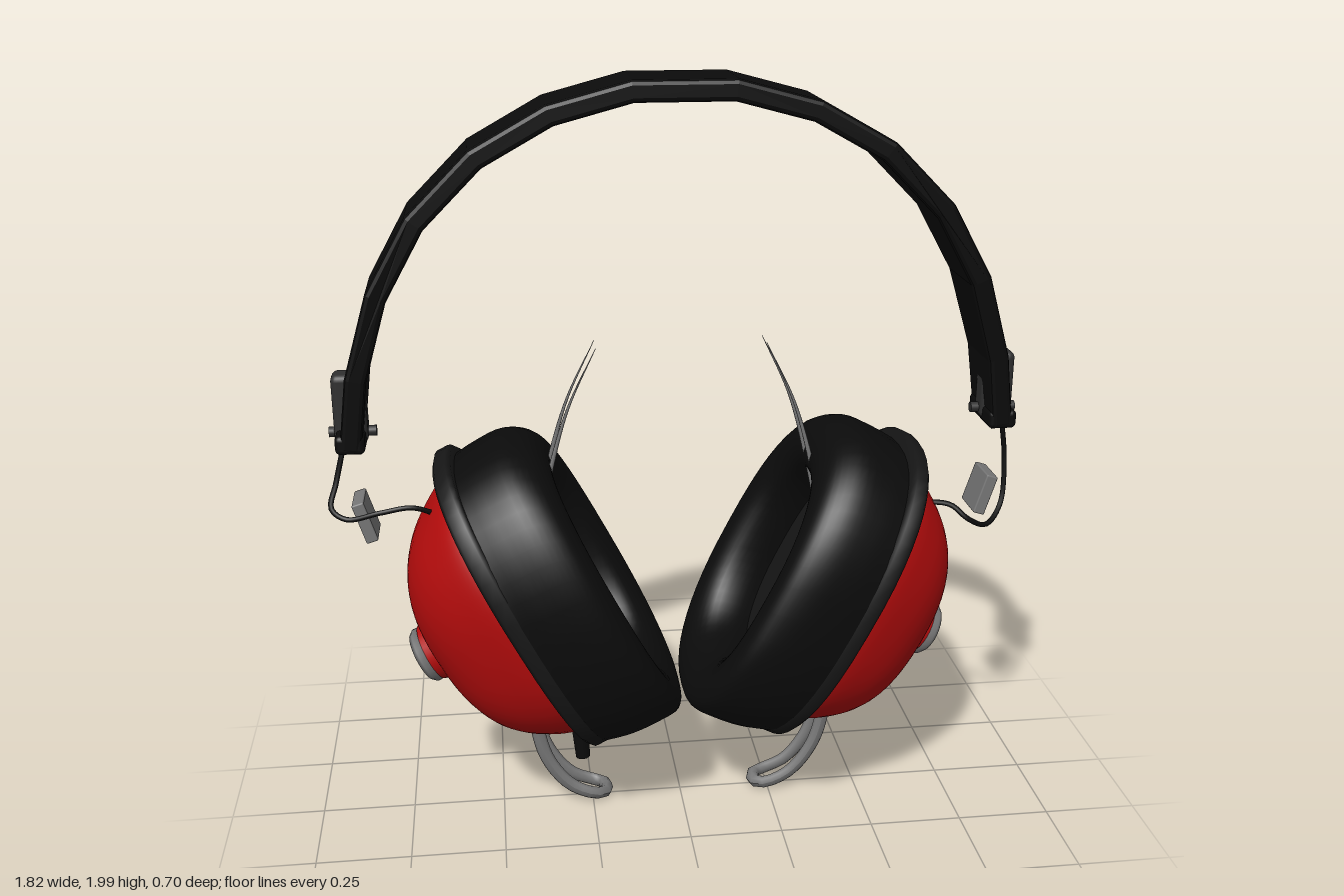
import * as THREE from 'three';
import { RoundedBoxGeometry } from 'three/addons/geometries/RoundedBoxGeometry.js';

const mat = (color) => new THREE.MeshStandardMaterial({ color });
const black = mat(0x0b0b0b), rubber = mat(0x161616), dark = mat(0x303030);
const red = mat(0xb30c0c), metal = mat(0x777777);
const V = (x, y, z = 0) => new THREE.Vector3(x, y, z);

function add(parent, name, geometry, material, x = 0, y = 0, z = 0) {
  const mesh = new THREE.Mesh(geometry, material);
  mesh.name = name;
  mesh.position.set(x, y, z);
  parent.add(mesh);
  return mesh;
}

// Loft of rounded ovals along x; each profile point is [x, centre y, half height]
function ovalLoft(profile, ratio, steps, sides = 48) {
  const curve = new THREE.CatmullRomCurve3(profile.map((p) => V(...p)), false, 'centripetal');
  const rings = steps ? curve.getPoints(steps) : profile.map((p) => V(...p));
  const pos = [], idx = [];
  const round = (v) => Math.sign(v) * Math.pow(Math.abs(v), 0.82);
  rings.forEach((r, i) => {
    for (let j = 0; j < sides; j++) {
      const t = (j / sides) * Math.PI * 2;
      pos.push(r.x, r.y + r.z * round(Math.cos(t)), r.z * ratio * round(Math.sin(t)));
      if (i === rings.length - 1) continue;
      const a = i * sides + j, b = i * sides + ((j + 1) % sides);
      idx.push(a, b, a + sides, b, b + sides, a + sides);
    }
  });
  const g = new THREE.BufferGeometry();
  g.setAttribute('position', new THREE.Float32BufferAttribute(pos, 3));
  g.setIndex(idx);
  g.computeVertexNormals();
  return g;
}

// Two-pronged spring: flattened tube, bent into a U at the bottom, pointed at both tips
function springGeometry() {
  const half = [[0.22, 1.33], [0.295, 1.17], [0.345, 1.0], [0.385, 0.82], [0.415, 0.55],
    [0.405, 0.28], [0.375, 0.15], [0.31, 0.06], [0.24, 0.028]];
  const pts = half.map(([x, y]) => V(x, y, 0.036));
  pts.push(V(0.215, 0.025, 0.022));
  const curve = new THREE.CatmullRomCurve3(
    [...pts, ...pts.slice().reverse().map((p) => V(p.x, p.y, -p.z))], false, 'centripetal');
  const seg = 120, sides = 8;
  const g = new THREE.TubeGeometry(curve, seg, 0.019, sides);
  const p = g.attributes.position;
  for (let i = 0; i < p.count; i++) {
    const u = Math.floor(i / (sides + 1)) / seg;
    const c = curve.getPointAt(u);
    const k = Math.min(1, 0.04 + Math.min(u, 1 - u) * 2.6);
    p.setXYZ(i, c.x + (p.getX(i) - c.x) * k, c.y + (p.getY(i) - c.y) * k,
      c.z + (p.getZ(i) - c.z) * k * 0.55);
  }
  g.computeVertexNormals();
  return g;
}

// Arched strap, narrowing towards its ends
function bandGeometry() {
  const half = [[0.845, 1.09], [0.82, 1.28], [0.757, 1.49], [0.655, 1.67], [0.505, 1.82],
    [0.325, 1.92], [0.125, 1.973]];
  const line = [...half, ...half.slice().reverse().map(([x, y]) => [-x, y])];
  const offset = (d) => line.map(([x, y], i) => {
    const a = line[Math.max(i - 1, 0)], b = line[Math.min(i + 1, line.length - 1)];
    const tx = b[0] - a[0], ty = b[1] - a[1], l = Math.hypot(tx, ty);
    return new THREE.Vector2(x + (ty / l) * d, y - (tx / l) * d);
  });
  const shape = new THREE.Shape([...offset(0.027), ...offset(-0.027).reverse()]);
  const g = new THREE.ExtrudeGeometry(shape, { depth: 0.2, bevelThickness: 0.012,
    bevelSize: 0.012, bevelOffset: -0.012, bevelSegments: 2 });
  g.translate(0, 0, -0.1);
  const p = g.attributes.position;
  for (let i = 0; i < p.count; i++) {
    p.setZ(i, p.getZ(i) * (0.82 + 0.18 * THREE.MathUtils.smoothstep(p.getY(i), 1.0, 1.6)));
  }
  g.computeVertexNormals();
  return g;
}

function createCup() {
  const cup = new THREE.Group();
  cup.name = 'earCup';
  cup.position.set(0.425, 0.635, 0);
  cup.rotation.z = -0.478;
  add(cup, 'shell', ovalLoft([[0, 0, 0.392], [0.04, -0.004, 0.385], [0.09, -0.01, 0.363],
    [0.16, -0.016, 0.318], [0.215, -0.02, 0.26], [0.255, -0.02, 0.18], [0.275, -0.02, 0.09],
    [0.28, -0.02, 0.001]], 0.79, 28), red);
  add(cup, 'rim', ovalLoft([[-0.03, 0, 0.4], [-0.03, 0, 0.44], [-0.02, 0, 0.452],
    [0.012, 0, 0.452], [0.022, 0, 0.44], [0.022, 0, 0.37]], 0.755), rubber);
  add(cup, 'cushion', ovalLoft([[-0.08, -0.02, 0.29], [-0.15, -0.025, 0.275],
    [-0.21, -0.035, 0.285], [-0.243, -0.045, 0.33], [-0.247, -0.05, 0.385],
    [-0.225, -0.042, 0.425], [-0.17, -0.025, 0.446], [-0.09, -0.02, 0.446],
    [-0.02, -0.015, 0.435]], 0.785, 32), black);
  add(cup, 'innerPanel', ovalLoft([[-0.1, -0.02, 0.001], [-0.1, -0.02, 0.3]], 0.785), rubber);
  const knobBase = add(cup, 'knobBase', new THREE.CylinderGeometry(0.08, 0.092, 0.07, 28), red, 0.26, -0.02);
  knobBase.rotation.z = -Math.PI / 2;
  const cap = [[0, -0.02], [0.076, -0.02], [0.078, 0.012], [0.068, 0.024], [0, 0.027]];
  const knob = add(cup, 'knob', new THREE.LatheGeometry(cap.map((p) => new THREE.Vector2(...p)), 28),
    metal, 0.301, -0.02);
  knob.rotation.z = -Math.PI / 2;
  return cup;
}

function createSide(name) {
  const side = new THREE.Group();
  side.name = name;
  side.add(createCup());
  add(side, 'spring', springGeometry(), metal);
  // Hanger block and the fitting at the end of the strap
  add(side, 'hangerBlock', new RoundedBoxGeometry(0.032, 0.112, 0.11, 2, 0.004), metal,
    0.825, 0.887).rotation.z = -0.3;
  add(side, 'strapFitting', new RoundedBoxGeometry(0.085, 0.185, 0.07, 3, 0.018), dark, 0.845, 1.187);
  add(side, 'strapEnd', new RoundedBoxGeometry(0.075, 0.05, 0.185, 3, 0.014), black, 0.845, 1.112);
  add(side, 'screw', new THREE.CylinderGeometry(0.014, 0.014, 0.12, 12), dark, 0.842, 1.122)
    .rotation.z = Math.PI / 2;
  return side;
}

export function createModel() {
  const model = new THREE.Group();
  model.name = 'headphones';
  add(model, 'headband', bandGeometry(), black);
  const left = createSide('leftSide');
  const right = createSide('rightSide');
  right.rotation.y = Math.PI;
  model.add(left, right);

  // Thin leads hanging from the strap to the cups
  const leads = {
    leftLead: [[0.87, 1.1, 0], [0.885, 0.97, 0.01], [0.872, 0.855, 0.04], [0.82, 0.815, 0.085],
      [0.765, 0.84, 0.1], [0.72, 0.875, 0.08], [0.65, 0.88, 0.06]],
    rightLead: [[-0.865, 1.1, 0], [-0.893, 0.99, 0.02], [-0.907, 0.93, 0.05], [-0.87, 0.905, 0.065],
      [-0.78, 0.925, 0.08], [-0.7, 0.935, 0.08], [-0.625, 0.9, 0.06]],
  };
  for (const [name, pts] of Object.entries(leads)) {
    const curve = new THREE.CatmullRomCurve3(pts.map((p) => V(...p)));
    add(model, name, new THREE.TubeGeometry(curve, 40, 0.007, 8), black);
  }

  // Cable outlet under the right cup
  add(model, 'cableOutlet', new THREE.CylinderGeometry(0.024, 0.02, 0.13, 14), black, -0.283, 0.23, 0.058)
    .rotation.z = 0.08;
  return model;
}
